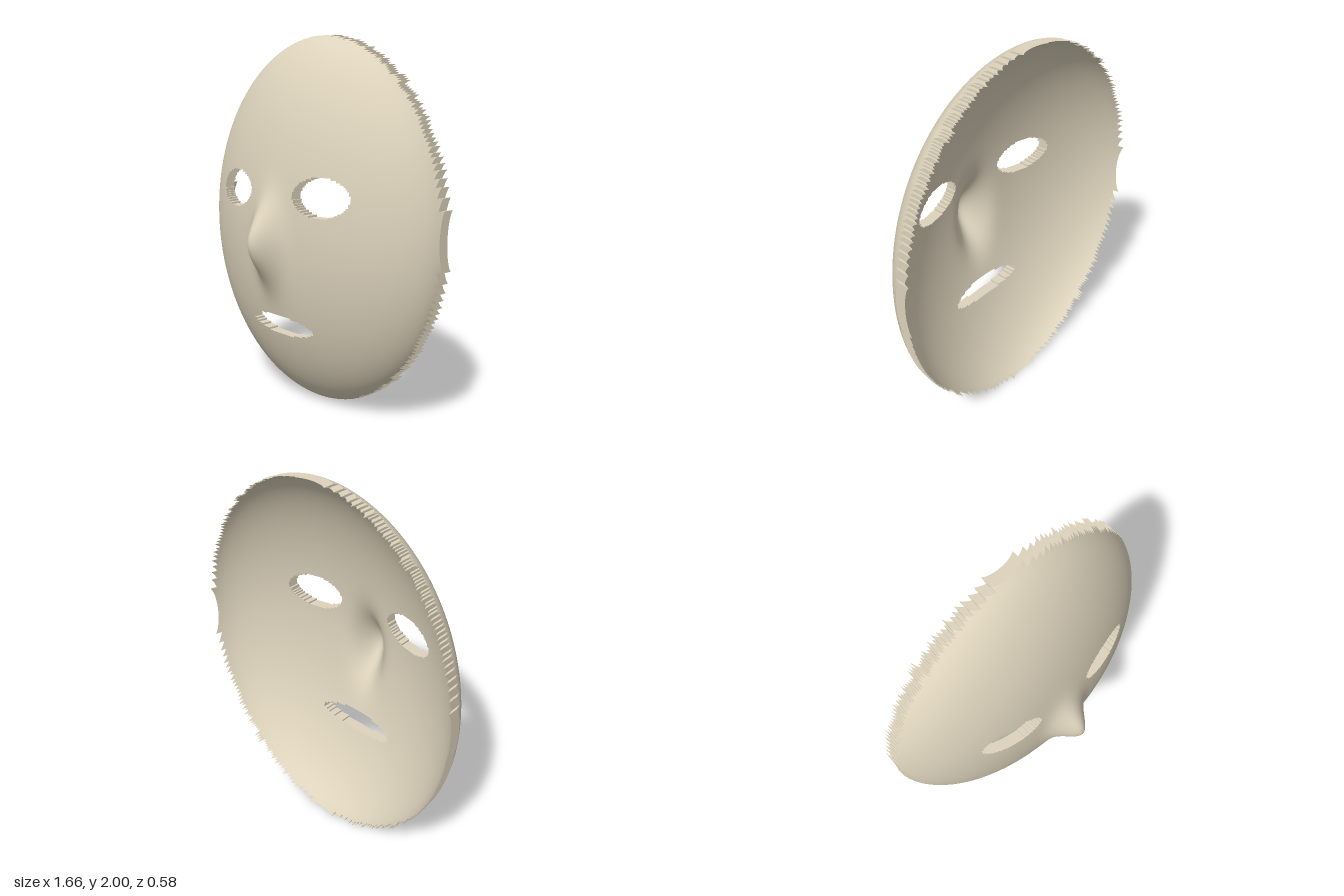
import * as THREE from 'three';

const STEP = 0.01;        // grid cell size; the rim and openings follow the grid
const NX = 84, NY = 101;  // half the grid in cells
const RX = 0.84, RY = 1.006;
const THICKNESS = 0.06;

// Openings: centre and radii, y measured from the middle of the face
const openings = [
  { x: -0.325, y: 0.19, rx: 0.165, ry: 0.1 },
  { x: 0.325, y: 0.19, rx: 0.165, ry: 0.1 },
  { x: 0, y: -0.525, rx: 0.24, ry: 0.055 },
];

const radius2 = (x, y) => (x / RX) ** 2 + (y / RY) ** 2;

// Domed face plus a rounded bump for the nose
function faceDepth(x, y) {
  const dome = Math.max(0, 1 - radius2(x, y)) ** 0.6;
  const nose = Math.exp(-((x / 0.09) ** 2) - ((y + 0.07) / 0.19) ** 2);
  return -0.23 + 0.39 * dome + 0.135 * nose;
}

// A cell is solid when its corners lie in the oval and its centre in no opening
function isSolid(i, j) {
  for (const [a, b] of [[0, 0], [1, 0], [1, 1], [0, 1]])
    if (radius2((i + a) * STEP, (j + b) * STEP) > 1) return false;
  const x = (i + 0.5) * STEP, y = (j + 0.5) * STEP;
  return !openings.some(o => ((x - o.x) / o.rx) ** 2 + ((y - o.y) / o.ry) ** 2 < 1);
}

const point = (i, j, offset) =>
  [i * STEP, j * STEP + 1, faceDepth(i * STEP, j * STEP) - offset];

// Smooth skin over all solid cells
function skinGeometry(offset, facesBack) {
  const positions = [], indices = [], ids = new Map();
  const vertex = (i, j) => {
    const key = i + ',' + j;
    if (!ids.has(key)) {
      ids.set(key, positions.length / 3);
      positions.push(...point(i, j, offset));
    }
    return ids.get(key);
  };
  for (let j = -NY; j < NY; j++) for (let i = -NX; i < NX; i++) {
    if (!isSolid(i, j)) continue;
    const a = vertex(i, j), b = vertex(i + 1, j);
    const c = vertex(i + 1, j + 1), d = vertex(i, j + 1);
    if (facesBack) indices.push(a, c, b, a, d, c);
    else indices.push(a, b, c, a, c, d);
  }
  const geometry = new THREE.BufferGeometry();
  geometry.setAttribute('position', new THREE.Float32BufferAttribute(positions, 3));
  geometry.setIndex(indices);
  geometry.computeVertexNormals();
  return geometry;
}

// Stepped walls joining both skins along the rim and the openings
function wallGeometry() {
  const positions = [];
  const sides = [ // neighbour cell, then edge start and end
    [0, -1, 0, 0, 1, 0], [1, 0, 1, 0, 1, 1],
    [0, 1, 1, 1, 0, 1], [-1, 0, 0, 1, 0, 0],
  ];
  for (let j = -NY; j < NY; j++) for (let i = -NX; i < NX; i++) {
    if (!isSolid(i, j)) continue;
    for (const [ni, nj, a, b, c, d] of sides) {
      if (isSolid(i + ni, j + nj)) continue;
      const p = point(i + a, j + b, 0), pBack = point(i + a, j + b, THICKNESS);
      const q = point(i + c, j + d, 0), qBack = point(i + c, j + d, THICKNESS);
      positions.push(...p, ...pBack, ...qBack, ...p, ...qBack, ...q);
    }
  }
  const geometry = new THREE.BufferGeometry();
  geometry.setAttribute('position', new THREE.Float32BufferAttribute(positions, 3));
  geometry.computeVertexNormals();
  return geometry;
}

export function createModel() {
  const group = new THREE.Group();
  group.name = 'mask';
  const material = new THREE.MeshStandardMaterial({ color: 0xddd3bc });
  const add = (name, geometry) => {
    const mesh = new THREE.Mesh(geometry, material);
    mesh.name = name;
    group.add(mesh);
  };
  add('frontSkin', skinGeometry(0, false));
  add('backSkin', skinGeometry(THICKNESS, true));
  add('rimAndOpeningWalls', wallGeometry());
  return group;
}
